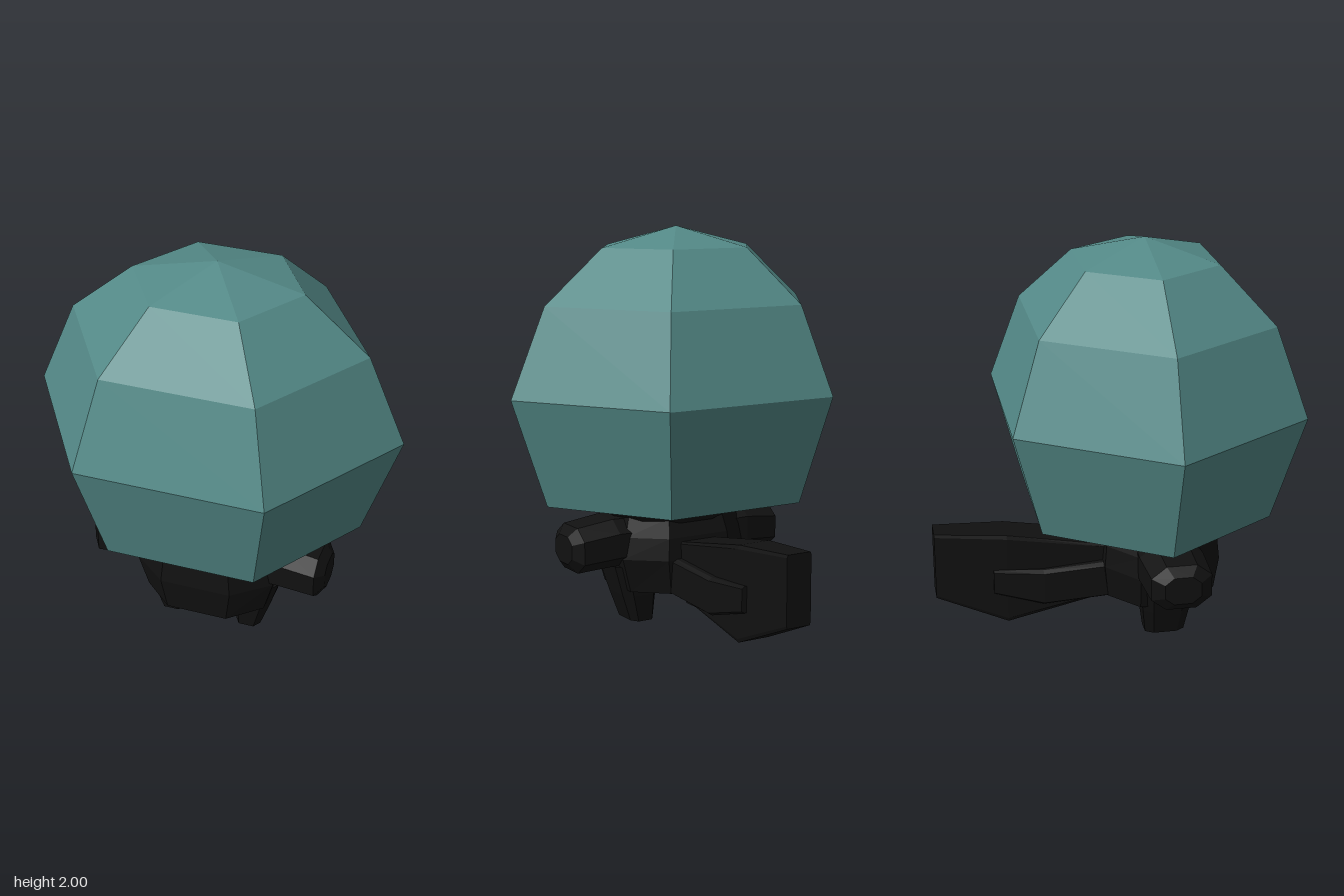
import * as THREE from 'three';

const dark = new THREE.MeshStandardMaterial({ color: 0x111111, flatShading: true });
const teal = new THREE.MeshStandardMaterial({ color: 0x548a88, flatShading: true });

function add(parent, name, geometry, material) {
  const mesh = new THREE.Mesh(geometry, material);
  mesh.name = name;
  parent.add(mesh);
  return mesh;
}

// Lofts chamfered rectangles along an axis.
// Section: [position, centreU, centreV, halfU, halfV]; (u, v) is (y, z), (z, x) or (x, y) for axis x, y or z.
function loft(axis, sections, chamfer = 0.4) {
  const place = {
    x: (u, v, w) => [w, u, v],
    y: (u, v, w) => [v, w, u],
    z: (u, v, w) => [u, v, w],
  }[axis];
  const k = 1 - chamfer;
  const corners = [[1, -k], [1, k], [k, 1], [-k, 1], [-1, k], [-1, -k], [-k, -1], [k, -1]];
  const n = corners.length, positions = [], index = [];
  for (const [w, cu, cv, hu, hv] of sections)
    for (const [u, v] of corners) positions.push(...place(cu + u * hu, cv + v * hv, w));
  for (let s = 0; s < sections.length - 1; s++) {
    for (let i = 0; i < n; i++) {
      const a = s * n + i, b = s * n + (i + 1) % n;
      index.push(a, b, b + n, a, b + n, a + n);
    }
  }
  const last = (sections.length - 1) * n;
  for (let i = 1; i < n - 1; i++) index.push(0, i + 1, i, last, last + i, last + i + 1);
  const geometry = new THREE.BufferGeometry();
  geometry.setAttribute('position', new THREE.Float32BufferAttribute(positions, 3));
  geometry.setIndex(index);
  geometry.computeVertexNormals();
  return geometry;
}

function lathe(profile, sides, zScale, z) {
  const points = profile.map(([r, y]) => new THREE.Vector2(r, y));
  return new THREE.LatheGeometry(points, sides, Math.PI / sides).scale(1, 1, zScale).translate(0, 0, z);
}

export function createModel() {
  const model = new THREE.Group();
  model.name = 'helmetedCreature';

  // Six-sided shell over the head
  add(model, 'helmet', lathe([
    [0, 0.61], [0.42, 0.62], [0.735, 0.65], [0.92, 1.19], [0.735, 1.63], [0.42, 1.9], [0, 2],
  ], 6, 0.89, 0.18), teal);

  // Underside of the head, running up into the shell
  add(model, 'head', lathe([
    [0, 0.5], [0.3, 0.53], [0.37, 0.565], [0.44, 0.63], [0.52, 0.8], [0.45, 1.05], [0, 1.2],
  ], 10, 0.92, 0.245), dark);

  // Torso
  add(model, 'body', loft('y', [
    [0.135, 0.25, 0, 0.13, 0.18],
    [0.175, 0.25, 0, 0.275, 0.31],
    [0.35, 0.25, 0, 0.295, 0.36],
    [0.46, 0.25, 0, 0.285, 0.34],
    [0.56, 0.26, 0, 0.265, 0.31],
  ], 0.5), dark);

  // Limbs, mirrored
  for (const [side, s] of [['left', 1], ['right', -1]]) {
    add(model, side + 'Leg', loft('y', [
      [0, 0.25, 0.205, 0.1, 0.065],
      [0.14, 0.25, 0.225, 0.12, 0.095],
      [0.3, 0.25, 0.26, 0.14, 0.11],
    ]), dark).scale.x = s;

    add(model, side + 'Arm', loft('x', [
      [0.2, 0.42, 0.25, 0.12, 0.15],
      [0.38, 0.425, 0.25, 0.122, 0.16],
      [0.57, 0.405, 0.26, 0.115, 0.15],
      [0.61, 0.405, 0.26, 0.07, 0.09],
    ], 0.5).scale(1, 1, 1), dark).scale.x = s;
  }

  // Tall, flat tail with a raised band along each side
  const tail = new THREE.Group();
  tail.name = 'tail';
  add(tail, 'tailBlade', loft('z', [
    [-0.89, -0.01, 0.375, 0.068, 0.175],
    [-0.53, -0.005, 0.285, 0.095, 0.24],
    [-0.05, 0, 0.298, 0.105, 0.143],
    [0.05, 0, 0.3, 0.11, 0.13],
  ], 0.08), dark);
  add(tail, 'tailBand', loft('z', [
    [-0.6, 0, 0.275, 0.112, 0.065],
    [-0.35, 0, 0.235, 0.14, 0.095],
    [0.02, 0, 0.265, 0.16, 0.095],
  ], 0.15), dark);
  model.add(tail);

  return model;
}
